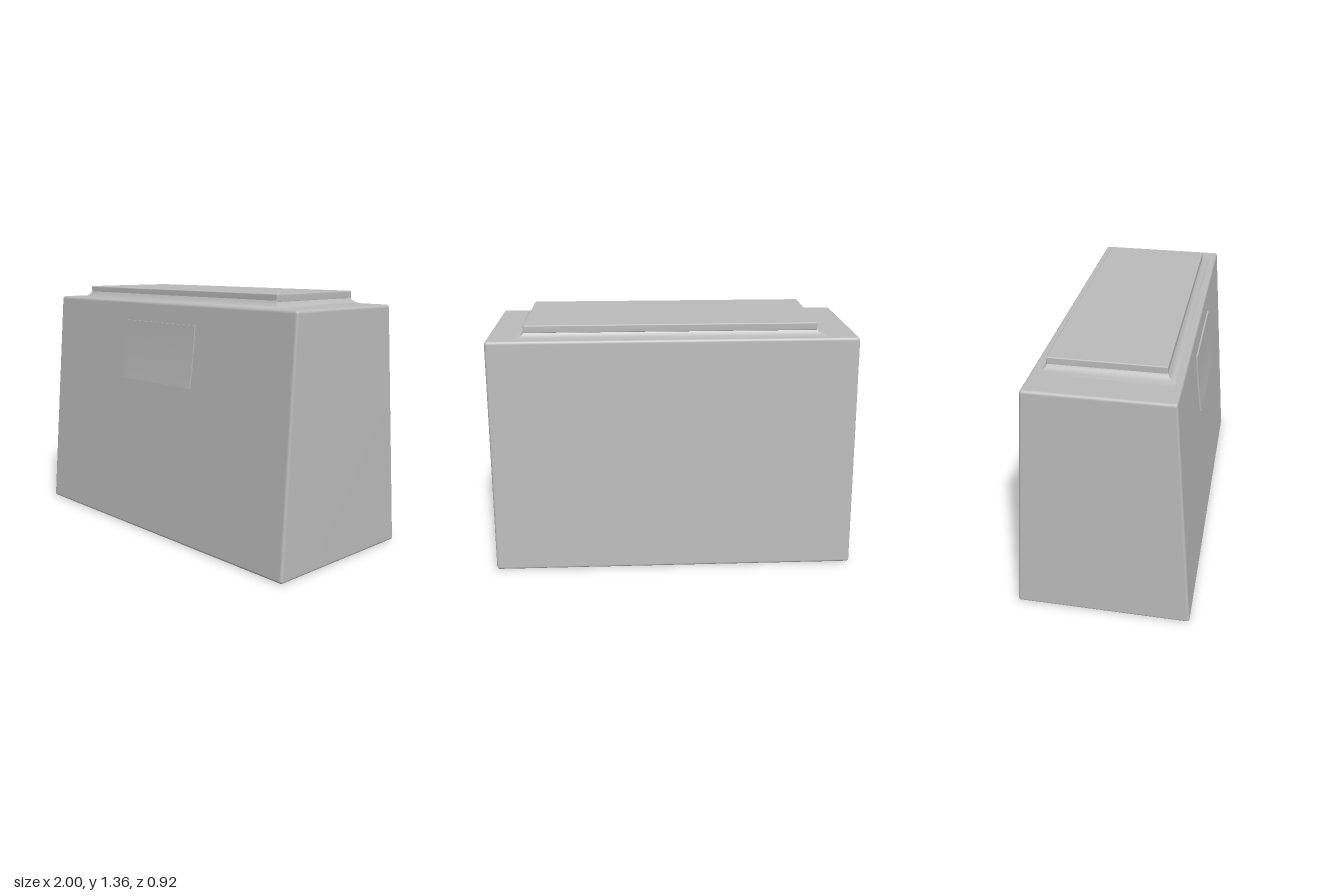
import * as THREE from 'three';
import { mergeVertices, toCreasedNormals } from 'three/addons/utils/BufferGeometryUtils.js';
import { RoundedBoxGeometry } from 'three/addons/geometries/RoundedBoxGeometry.js';

// Move every vertex by a rule, then rebuild smooth normals across shared corners.
function reshape(geometry, rule) {
  geometry.deleteAttribute('normal');
  geometry.deleteAttribute('uv');
  const merged = mergeVertices(geometry, 1e-5);
  const pos = merged.attributes.position;
  const v = new THREE.Vector3();
  for (let i = 0; i < pos.count; i++) {
    rule(v.fromBufferAttribute(pos, i));
    pos.setXYZ(i, v.x, v.y, v.z);
  }
  merged.computeVertexNormals();
  return merged;
}

// Stack of rectangular rings [halfX, y, halfZ], open at both ends.
function rectangularSkirt(rings) {
  const corners = [[1, 1], [1, -1], [-1, -1], [-1, 1]];
  const points = [];
  const index = [];
  rings.forEach(([hx, y, hz], r) => {
    corners.forEach(([sx, sz], c) => {
      points.push(sx * hx, y, sz * hz);
      if (r === 0) return;
      const a = (r - 1) * 4 + c, b = (r - 1) * 4 + (c + 1) % 4;
      index.push(a, b, b + 4, a, b + 4, a + 4);
    });
  });
  const g = new THREE.BufferGeometry();
  g.setAttribute('position', new THREE.Float32BufferAttribute(points, 3));
  g.setIndex(index);
  return toCreasedNormals(g, 0.8);
}

export function createModel() {
  const grey = new THREE.MeshStandardMaterial({ color: 0xbababa });
  const model = new THREE.Group();
  model.name = 'taperedCase';

  const add = (name, geometry) => {
    const mesh = new THREE.Mesh(geometry, grey);
    mesh.name = name;
    model.add(mesh);
    return mesh;
  };

  // Body: rounded box narrowing upwards, mostly in depth
  const height = 1.295;
  add('body', reshape(new RoundedBoxGeometry(2, height, 0.924, 3, 0.016), (v) => {
    v.y += height / 2;
    const t = v.y / height;
    v.x *= 1 - 0.018 * t;
    v.z *= 1 - 0.215 * t;
  }));

  // Concave skirt sweeping up from the body to the lid
  const skirt = add('lidSkirt', rectangularSkirt([
    [0.835, 1.292, 0.335], [0.8, 1.301, 0.312], [0.78, 1.315, 0.296], [0.77, 1.335, 0.285],
  ]));
  skirt.position.x = 0.01;

  // Flat lid, slightly off centre
  const lid = add('lid', reshape(new RoundedBoxGeometry(1.55, 0.042, 0.582, 2, 0.006), () => {}));
  lid.position.set(0.011, 1.341, -0.003);

  // Thin front flap, curling outwards towards its lower edge
  const flap = new THREE.BoxGeometry(0.59, 0.33, 0.008, 6, 10, 1);
  const bent = reshape(flap, (v) => {
    const down = 0.5 - v.y / 0.33;
    v.x *= 1 - 0.02 * down;
    v.y += 1.02;
    v.z += 0.376 + 0.018 * down + 0.016 * down * down;
  });
  add('frontFlap', toCreasedNormals(bent, 0.6));

  return model;
}
